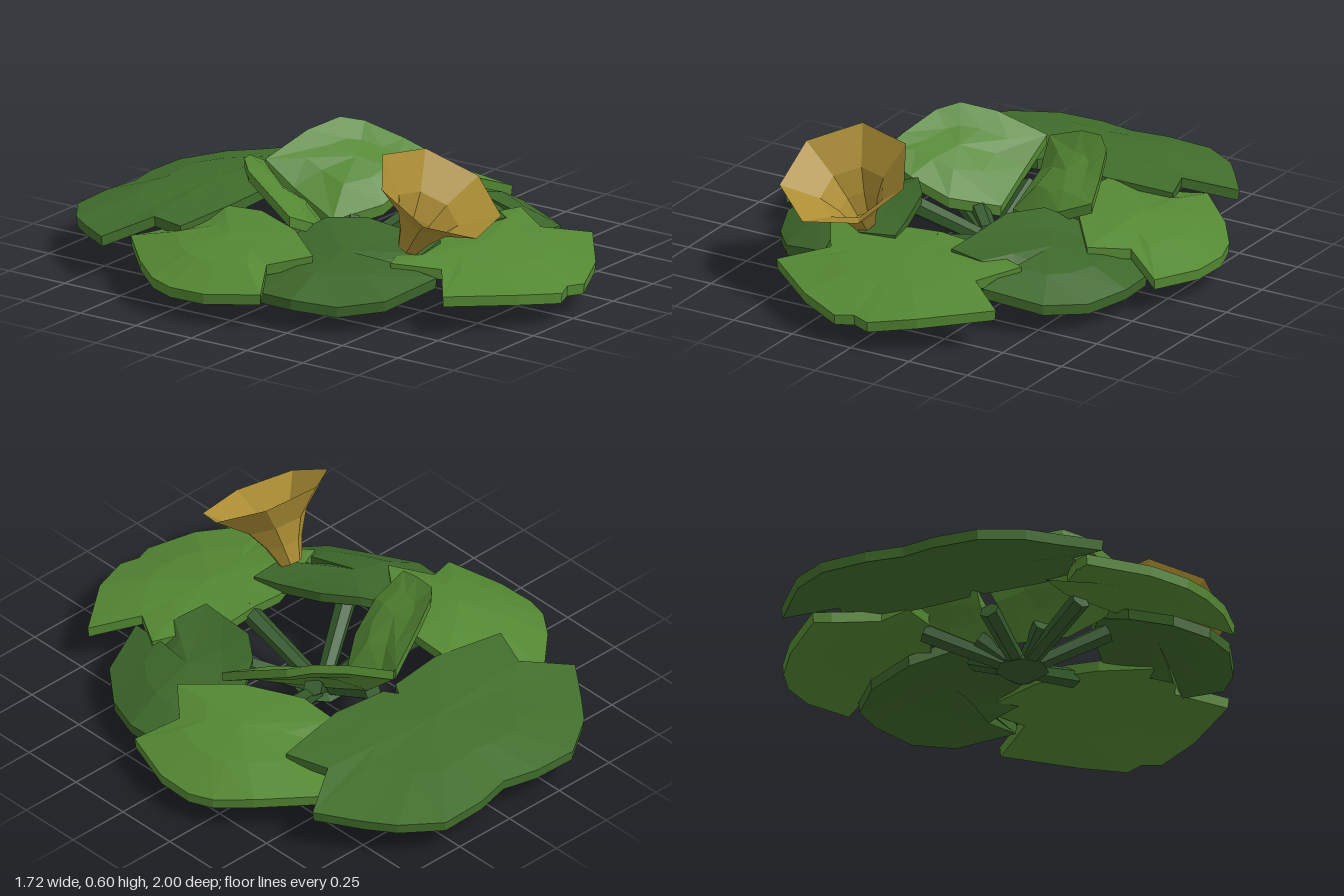
import * as THREE from 'three';

const mat = (color, side = THREE.FrontSide) =>
  new THREE.MeshStandardMaterial({ color, flatShading: true, side });
const light = mat(0x548833);
const mid = mat(0x416e2c);
const dark = mat(0x3d672a);
const stemGreen = mat(0x33592a);
const gold = mat(0xac8e34, THREE.DoubleSide);

// Thick domed leaf: rings between a centre and an outline, top and underside
function leaf(name, material, centre, outline, thick = 0.04) {
  let area = 0;
  outline.forEach((p, i) => {
    const q = outline[(i + 1) % outline.length];
    area += p[2] * q[0] - p[0] * q[2];
  });
  const rim = area > 0 ? outline : [...outline].reverse();
  const n = rim.length, pos = [], idx = [];
  // each ring: share of the way to the rim, share of the drop, depth
  const rings = [[0, 0, 0], [0.55, 0.4, 0], [1, 1, 0], [0.99, 1, thick], [0.55, 0.4, thick], [0, 0, thick]];
  for (const [t, drop, depth] of rings) {
    for (const p of rim) {
      pos.push(
        centre[0] + (p[0] - centre[0]) * t,
        centre[1] + (p[1] - centre[1]) * drop - depth,
        centre[2] + (p[2] - centre[2]) * t);
    }
  }
  for (let r = 0; r < rings.length - 1; r++) {
    for (let i = 0; i < n; i++) {
      const j = (i + 1) % n, a = r * n + i, b = r * n + j, c = a + n, d = b + n;
      if (r > 0) idx.push(a, d, b);
      if (r < rings.length - 2) idx.push(a, c, d);
    }
  }
  const geo = new THREE.BufferGeometry();
  geo.setAttribute('position', new THREE.Float32BufferAttribute(pos, 3));
  geo.setIndex(idx);
  const flat = geo.toNonIndexed();
  flat.computeVertexNormals();
  const mesh = new THREE.Mesh(flat, material);
  mesh.name = name;
  return mesh;
}

const flip = ([x, y, z]) => [-x, y, z];
const symmetric = half => [...half, ...half.slice(1, -1).reverse().map(flip)];

// Straight six-sided stalk between two points
function stalk(name, from, to, r0, r1) {
  const a = new THREE.Vector3(...from), b = new THREE.Vector3(...to);
  const dir = b.clone().sub(a);
  const mesh = new THREE.Mesh(new THREE.CylinderGeometry(r1, r0, dir.length(), 6), stemGreen);
  mesh.position.copy(a).add(b).multiplyScalar(0.5);
  mesh.quaternion.setFromUnitVectors(new THREE.Vector3(0, 1, 0), dir.normalize());
  mesh.name = name;
  return mesh;
}

export function createModel() {
  const group = new THREE.Group();
  group.name = 'leafyPlant';

  // Leaves on the centre line
  group.add(leaf('frontLeaf', light, [0, 0.225, 0.6], symmetric([
    [0, 0.23, 0.36], [0.13, 0.22, 0.36], [0.41, 0.22, 0.47], [0.31, 0.2, 0.63],
    [0.47, 0.16, 0.75], [0.24, 0.14, 0.93], [0.07, 0.115, 1], [0, 0.12, 0.975]])));
  group.add(leaf('backLeaf', mid, [0, 0.245, -0.6], symmetric([
    [0, 0.25, -0.41], [0.03, 0.25, -0.36], [0.25, 0.255, -0.34], [0.54, 0.235, -0.38],
    [0.48, 0.225, -0.54], [0.66, 0.175, -0.65], [0.55, 0.16, -0.8], [0.47, 0.155, -0.9],
    [0.32, 0.145, -1], [0.14, 0.15, -1], [0, 0.155, -0.97]])));

  // Paired leaves, mirrored to the right
  const pairs = [
    ['SideLeaf', light, [0.55, 0.25, -0.15], [
      [0.28, 0.25, -0.37], [0.38, 0.215, -0.39], [0.5, 0.165, -0.56], [0.56, 0.165, -0.59],
      [0.74, 0.15, -0.42], [0.83, 0.13, -0.3], [0.86, 0.12, -0.2], [0.855, 0.12, -0.05],
      [0.79, 0.14, 0.16], [0.64, 0.2, 0.08], [0.53, 0.23, 0.21], [0.38, 0.255, 0.02],
      [0.28, 0.26, -0.2]]],
    ['FrontSideLeaf', dark, [0.42, 0.235, 0.27], [
      [0.27, 0.285, 0.08], [0.18, 0.285, 0.2], [0.14, 0.25, 0.38], [0.12, 0.235, 0.49],
      [0.26, 0.225, 0.51], [0.38, 0.165, 0.48], [0.34, 0.175, 0.63], [0.55, 0.125, 0.55],
      [0.66, 0.105, 0.41], [0.725, 0.12, 0.25], [0.72, 0.12, 0.1], [0.62, 0.15, 0],
      [0.45, 0.2, -0.03]]],
    ['InnerLeaf', light, [0.23, 0.345, -0.14], [
      [0.005, 0.345, -0.39], [0.18, 0.425, -0.325], [0.3, 0.455, -0.265], [0.365, 0.435, -0.2],
      [0.42, 0.38, -0.06], [0.455, 0.33, 0.05], [0.32, 0.27, 0.055], [0.18, 0.2, 0.015],
      [0.025, 0.16, -0.1], [0.03, 0.25, -0.28]]]
  ];
  for (const [name, material, centre, outline] of pairs) {
    group.add(leaf('left' + name, material, centre, outline));
    group.add(leaf('right' + name, material, flip(centre), outline.map(flip)));
  }

  // Root bulb with a small bud on top
  const bulb = new THREE.Mesh(new THREE.LatheGeometry([
    [0, 0], [0.06, 0.03], [0.1, 0.06], [0.07, 0.08], [0.055, 0.11], [0, 0.125]
  ].map(p => new THREE.Vector2(...p)), 7), stemGreen);
  bulb.name = 'rootBulb';
  group.add(bulb);

  // Stalks from the bulb to the leaves
  const ends = [['frontStalk', [0, 0.195, 0.4]], ['backStalk', [0, 0.19, -0.27]]];
  for (const [side, s] of [['left', 1], ['right', -1]]) {
    ends.push([side + 'FrontStalk', [s * 0.27, 0.22, 0.16]],
      [side + 'SideStalk', [s * 0.32, 0.21, -0.16]],
      [side + 'InnerStalk', [s * 0.13, 0.175, -0.09]]);
  }
  for (const [name, end] of ends) group.add(stalk(name, [0, 0.06, 0], end, 0.03, 0.038));

  // Trumpet flower, leaning forward
  const flower = new THREE.Mesh(new THREE.LatheGeometry([
    [0, 0], [0.045, 0], [0.075, 0.08], [0.125, 0.165], [0.25, 0.27]
  ].map(p => new THREE.Vector2(...p)), 7, Math.PI / 2), gold);
  flower.name = 'trumpetFlower';
  flower.position.set(-0.272, 0.243, 0.455);
  flower.rotation.x = 0.52;
  group.add(flower);

  return group;
}
